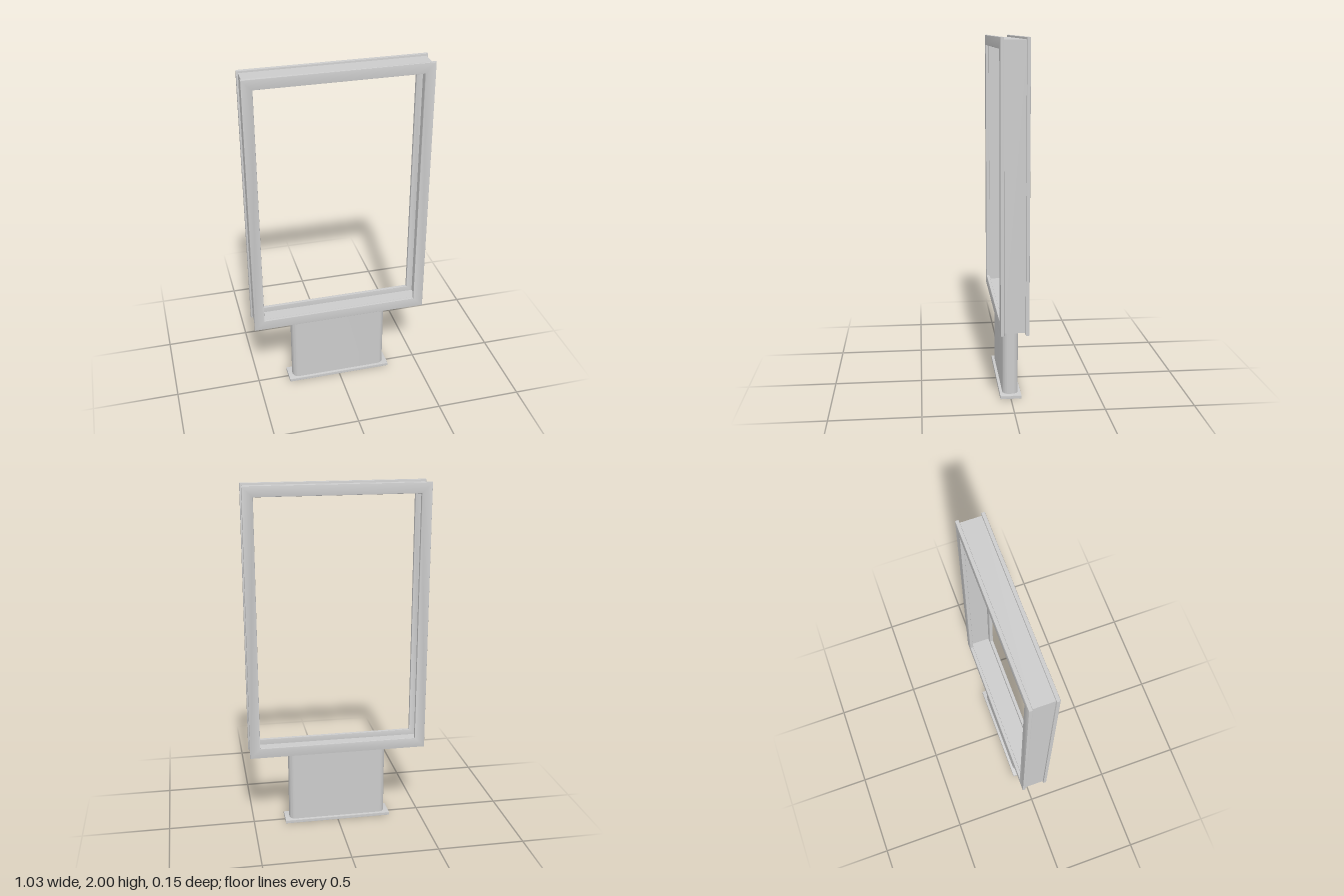
import * as THREE from 'three';
import { toCreasedNormals } from 'three/addons/utils/BufferGeometryUtils.js';

const material = new THREE.MeshStandardMaterial({ color: 0xcccccc });

// Rectangle with optional rounded corners, usable as an outline or a hole
function rect(x0, y0, x1, y1, r = 0, Type = THREE.Shape) {
  const s = new Type();
  s.moveTo(x0 + r, y0);
  s.lineTo(x1 - r, y0);
  if (r) s.absarc(x1 - r, y0 + r, r, -Math.PI / 2, 0);
  else s.lineTo(x1, y0);
  s.lineTo(x1, y1 - r);
  if (r) s.absarc(x1 - r, y1 - r, r, 0, Math.PI / 2);
  s.lineTo(x0 + r, y1);
  if (r) s.absarc(x0 + r, y1 - r, r, Math.PI / 2, Math.PI);
  s.lineTo(x0, y0 + r);
  if (r) s.absarc(x0 + r, y0 + r, r, Math.PI, Math.PI * 1.5);
  return s;
}

// Extrusion centred on z = 0; the bevel stays inside the outline and depth
function slab(shape, depth, bevel = 0) {
  const geometry = new THREE.ExtrudeGeometry(shape, {
    depth: depth - 2 * bevel,
    bevelEnabled: bevel > 0,
    bevelThickness: bevel,
    bevelSize: bevel,
    bevelOffset: -bevel,
    bevelSegments: 2,
    curveSegments: 8,
  });
  geometry.translate(0, 0, bevel - depth / 2);
  return toCreasedNormals(geometry, 0.6);
}

// Rectangular ring: outer half width, bottom and top, inset by the bar width
function ring(halfWidth, bottom, top, bar, depth, bevel) {
  const shape = rect(-halfWidth, bottom, halfWidth, top);
  shape.holes.push(rect(-halfWidth + bar, bottom + bar, halfWidth - bar, top - bar, 0, THREE.Path));
  return slab(shape, depth, bevel);
}

export function createModel() {
  const model = new THREE.Group();
  const add = (name, geometry) => {
    const mesh = new THREE.Mesh(geometry, material);
    mesh.name = name;
    model.add(mesh);
    return mesh;
  };

  // Display case: a thin recessed band between two wider face frames
  add('caseBand', ring(0.507, 0.458, 1.988, 0.014, 0.118));
  for (const [name, side] of [['frontFrame', 1], ['backFrame', -1]]) {
    add(name, ring(0.517, 0.445, 2, 0.06, 0.02, 0.004)).position.z = side * 0.067;
  }

  // Pedestal with rounded vertical edges, standing on a flat plate
  const pedestal = slab(rect(-0.288, -0.044, 0.288, 0.044, 0.036), 0.445);
  add('pedestal', pedestal.rotateX(-Math.PI / 2)).position.y = 0.2375;
  const plate = slab(rect(-0.315, -0.06, 0.315, 0.06), 0.02, 0.003);
  add('basePlate', plate.rotateX(-Math.PI / 2)).position.y = 0.01;

  return model;
}
